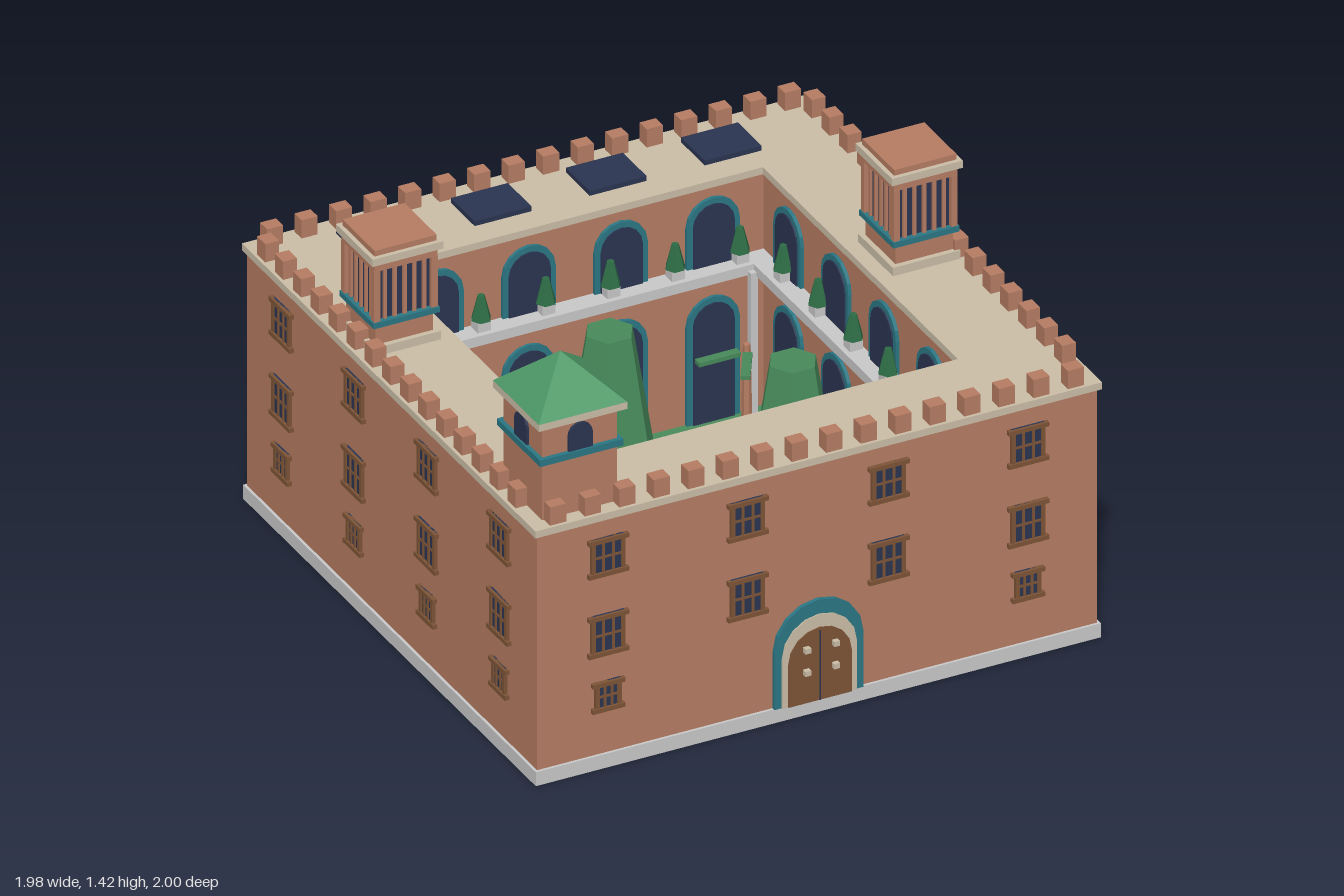
import * as THREE from 'three';

const mat = (name, color, side = THREE.FrontSide) => {
  const m = new THREE.MeshStandardMaterial({ color, side });
  m.name = name;
  m.flatShading = true;
  return m;
};

export function createModel() {
  const M = {
    brick: mat('terracotta', 0xb57c62),
    cream: mat('cream stone', 0xcabda6),
    grey: mat('grey stone', 0xc8c8c8),
    wood: mat('brown wood', 0x7d5437),
    navy: mat('dark glass', 0x2b3450),
    teal: mat('teal tile', 0x2b7684),
    lawn: mat('lawn green', 0x4a8b5c),
    leaf: mat('leaf green', 0x478a5a),
    roof: mat('roof green', 0x4d9765),
    bush: mat('shrub green', 0x2d6c45),
  };
  const model = new THREE.Group();
  const body = new THREE.Group(); // everything is laid out around the courtyard centre
  body.name = 'building';
  body.position.z = -0.013;
  model.add(body);

  const add = (parent, name, geo, m, x = 0, y = 0, z = 0) => {
    const mesh = new THREE.Mesh(geo, m);
    mesh.name = name;
    mesh.position.set(x, y, z);
    parent.add(mesh);
    return mesh;
  };
  const group = (parent, name, x = 0, y = 0, z = 0, ry = 0) => {
    const g = new THREE.Group();
    g.name = name;
    g.position.set(x, y, z);
    g.rotation.y = ry;
    parent.add(g);
    return g;
  };
  // box given by its bottom and top heights
  const block = (p, name, m, w, d, y0, y1, x = 0, z = 0) =>
    add(p, name, new THREE.BoxGeometry(w, y1 - y0, d), m, x, (y0 + y1) / 2, z);
  const square = (path, h) => path.moveTo(-h, -h).lineTo(h, -h).lineTo(h, h).lineTo(-h, h).closePath();
  // square ring lying flat
  const ring = (name, m, outer, inner, y0, y1) => {
    const s = square(new THREE.Shape(), outer);
    s.holes.push(square(new THREE.Path(), inner));
    const g = new THREE.ExtrudeGeometry(s, { depth: y1 - y0, bevelEnabled: false });
    g.rotateX(-Math.PI / 2);
    return add(body, name, g, m, 0, y0, 0);
  };
  // round-headed panel facing +z, standing on y = 0
  const arch = (p, name, m, r, spring, depth, x, y, z) => {
    const s = new THREE.Shape();
    s.moveTo(-r, 0).lineTo(r, 0);
    for (let i = 0; i <= 8; i++) {
      const a = (i / 8) * Math.PI;
      s.lineTo(r * Math.cos(a), spring + r * Math.sin(a));
    }
    s.closePath();
    return add(p, name, new THREE.ExtrudeGeometry(s, { depth, bevelEnabled: false }), m, x, y, z);
  };

  // Main block
  block(body, 'plinth', M.grey, 1.965, 1.965, 0, 0.05);
  ring('walls', M.brick, 0.973, 0.66, 0.05, 0.89);
  ring('roofTerrace', M.cream, 0.985, 0.655, 0.89, 0.915);
  block(body, 'lawn', M.lawn, 1.32, 1.32, 0.05, 0.06);

  // Battlements
  for (const s of [-1, 1]) {
    for (let i = 0; i < 16; i++) block(body, 'merlon', M.brick, 0.056, 0.048, 0.915, 0.98, -0.9 + i * 0.12, s * 0.95);
    for (let i = 0; i < 15; i++) block(body, 'merlon', M.brick, 0.048, 0.056, 0.915, 0.98, s * 0.95, -0.877 + i * 0.12);
  }

  // Barred windows on the four outside faces
  const rows = [[0.69, 0.825, 0.115], [0.405, 0.55, 0.115], [0.205, 0.31, 0.088]];
  for (let side = 0; side < 4; side++) {
    const face = group(body, 'facade', 0, 0, 0, (side * Math.PI) / 2);
    rows.forEach(([y0, y1, w], row) => {
      for (const x of [-0.73, -0.245, 0.245, 0.73]) {
        if (side === 0 && row === 2 && Math.abs(x) < 0.5) continue; // gate takes this space
        const win = group(face, 'barredWindow', x, 0, 0.973);
        block(win, 'windowGlass', M.navy, w, 0.008, y0, y1, 0, 0.003);
        block(win, 'windowLintel', M.wood, w + 0.025, 0.024, y1 - 0.015, y1, 0, 0.004);
        block(win, 'windowSill', M.wood, w + 0.025, 0.024, y0, y0 + 0.015, 0, 0.004);
        for (let i = 0; i < 4; i++)
          block(win, 'windowBar', M.wood, i % 3 ? 0.008 : 0.014, 0.016, y0, y1, (i / 3 - 0.5) * (w - 0.012), 0.004);
        block(win, 'windowCrossbar', M.wood, w, 0.012, (y0 + y1) / 2 - 0.004, (y0 + y1) / 2 + 0.004, 0, 0.004);
      }
    });
  }

  // Gate
  const gate = group(body, 'gate', 0, 0.05, 0.973);
  arch(gate, 'gateTileArch', M.teal, 0.155, 0.2, 0.014, 0, 0, 0);
  arch(gate, 'gateStoneArch', M.cream, 0.13, 0.175, 0.018, 0, 0, 0);
  arch(gate, 'gateDoor', M.wood, 0.11, 0.15, 0.022, 0, 0, 0);
  block(gate, 'gateSeam', M.navy, 0.004, 0.002, 0, 0.25, 0, 0.0225);
  for (const x of [-0.05, 0.05])
    for (const y of [0.115, 0.195]) block(gate, 'gateStud', M.cream, 0.02, 0.018, y - 0.009, y + 0.009, x, 0.03);

  // Courtyard arches, on both floors of all four inner faces
  for (let side = 0; side < 4; side++) {
    const face = group(body, 'courtyardFace', 0, 0, 0, (side * Math.PI) / 2);
    for (const x of [-0.48, -0.16, 0.16, 0.48])
      for (const [y, spring] of [[0.62, 0.145], [0.06, 0.35]]) {
        arch(face, 'archFrame', M.teal, 0.092, spring, 0.012, x, y, -0.66);
        arch(face, 'archGlass', M.navy, 0.072, spring, 0.017, x, y, -0.66);
      }
  }

  // Gallery with potted shrubs
  ring('gallery', M.grey, 0.66, 0.59, 0.585, 0.62);
  const shrub = (x, z) => {
    const g = group(body, 'pottedShrub', x, 0.62, z);
    block(g, 'pot', M.grey, 0.045, 0.045, 0, 0.035);
    const crown = add(g, 'shrub', new THREE.CylinderGeometry(0.012, 0.034, 0.085, 6), M.bush, 0, 0.0775, 0);
    crown.rotation.y = Math.PI / 6;
  };
  for (const s of [-1, 1]) {
    for (let i = 0; i < 6; i++) shrub(-0.5625 + i * 0.225, s * 0.63);
    for (let i = 0; i < 5; i++) shrub(s * 0.63, -0.47 + i * 0.235);
    // corner posts under the gallery
    for (const t of [-1, 1]) block(body, 'galleryPost', M.grey, 0.024, 0.024, 0.06, 0.6, s * 0.582, t * 0.582);
  }

  // Courtyard trees
  for (const [x, z] of [[0.42, 0], [-0.42, 0], [0, 0.42], [0, -0.42]]) {
    const g = group(body, 'tree', x, 0, z);
    add(g, 'treeTrunk', new THREE.CylinderGeometry(0.03, 0.035, 0.14, 6), M.wood, 0, 0.12, 0);
    const crown = add(g, 'treeCrown', new THREE.CylinderGeometry(0.08, 0.156, 0.45, 6), M.leaf, 0, 0.405, 0);
    crown.rotation.y = Math.PI / 6;
  }

  // Corner plants with two long leaves, in opposite corners
  for (const s of [1, -1]) {
    const g = group(body, 'cornerPlant', s * 0.55, 0.06, s * -0.56, s > 0 ? 0 : Math.PI);
    add(g, 'plantStem', new THREE.CylinderGeometry(0.012, 0.018, 0.3, 6), M.brick, 0, 0.15, 0);
    block(g, 'plantLeaf', M.leaf, 0.145, 0.03, 0.27, 0.285, -0.1, 0);
    const leaf = block(g, 'plantLeaf', M.leaf, 0.145, 0.03, 0.27, 0.285, -0.045, 0.085);
    leaf.rotation.y = Math.PI / 3;
  }

  // Fountain
  const fountain = group(body, 'fountain', 0, 0.06, 0);
  const tub = (name, m, r0, r1, y0, y1) =>
    add(fountain, name, new THREE.CylinderGeometry(r1, r0, y1 - y0, 8), m, 0, (y0 + y1) / 2, 0);
  tub('fountainBasin', M.grey, 0.097, 0.097, 0, 0.05);
  tub('fountainWater', M.teal, 0.088, 0.088, 0.04, 0.054);
  tub('fountainColumn', M.grey, 0.02, 0.02, 0.05, 0.12);
  tub('fountainBowl', M.grey, 0.025, 0.055, 0.11, 0.14);
  tub('fountainFinial', M.grey, 0.016, 0.012, 0.14, 0.17);

  // Roof panels
  for (const x of [-0.6, -0.2, 0.2, 0.6]) block(body, 'roofPanel', M.navy, 0.198, 0.16, 0.915, 0.932, x, -0.827);

  // Corner tower
  const tower = group(body, 'cornerTower', -0.805, 0, 0.803);
  block(tower, 'towerShaft', M.brick, 0.26, 0.26, 0.915, 1.25);
  block(tower, 'towerBand', M.teal, 0.29, 0.29, 1.117, 1.14);
  block(tower, 'towerCornice', M.cream, 0.308, 0.308, 1.25, 1.275);
  const pyramid = new THREE.ConeGeometry(0.154 * Math.SQRT2, 0.145, 4);
  pyramid.rotateY(Math.PI / 4);
  add(tower, 'towerRoof', pyramid, M.roof, 0, 1.3475, 0);
  for (let side = 0; side < 4; side++) {
    const face = group(tower, 'towerFace', 0, 0, 0, (side * Math.PI) / 2);
    arch(face, 'towerWindow', M.navy, 0.042, 0.053, 0.009, 0, 1.14, 0.13);
  }

  // Two roof lanterns
  for (const [x, z] of [[0.825, 0], [-0.825, -0.303]]) {
    const g = group(body, 'lantern', x, 0, z);
    block(g, 'lanternFoot', M.cream, 0.235, 0.235, 0.915, 0.945);
    block(g, 'lanternBase', M.brick, 0.2, 0.2, 0.945, 1.02);
    block(g, 'lanternBand', M.teal, 0.23, 0.23, 1.012, 1.032);
    block(g, 'lanternGlass', M.navy, 0.19, 0.19, 1.03, 1.215);
    block(g, 'lanternLintel', M.brick, 0.22, 0.22, 1.212, 1.242);
    block(g, 'lanternCornice', M.cream, 0.246, 0.246, 1.242, 1.268);
    block(g, 'lanternCap', M.brick, 0.216, 0.216, 1.268, 1.288);
    for (let side = 0; side < 4; side++) {
      const face = group(g, 'lanternFace', 0, 0, 0, (side * Math.PI) / 2);
      block(face, 'lanternCorner', M.brick, 0.022, 0.022, 1.03, 1.215, 0.1, 0.1);
      for (let i = -2; i <= 2; i++) block(face, 'lanternBar', M.brick, 0.012, 0.012, 1.03, 1.215, i * 0.034, 0.098);
    }
  }
  return model;
}
